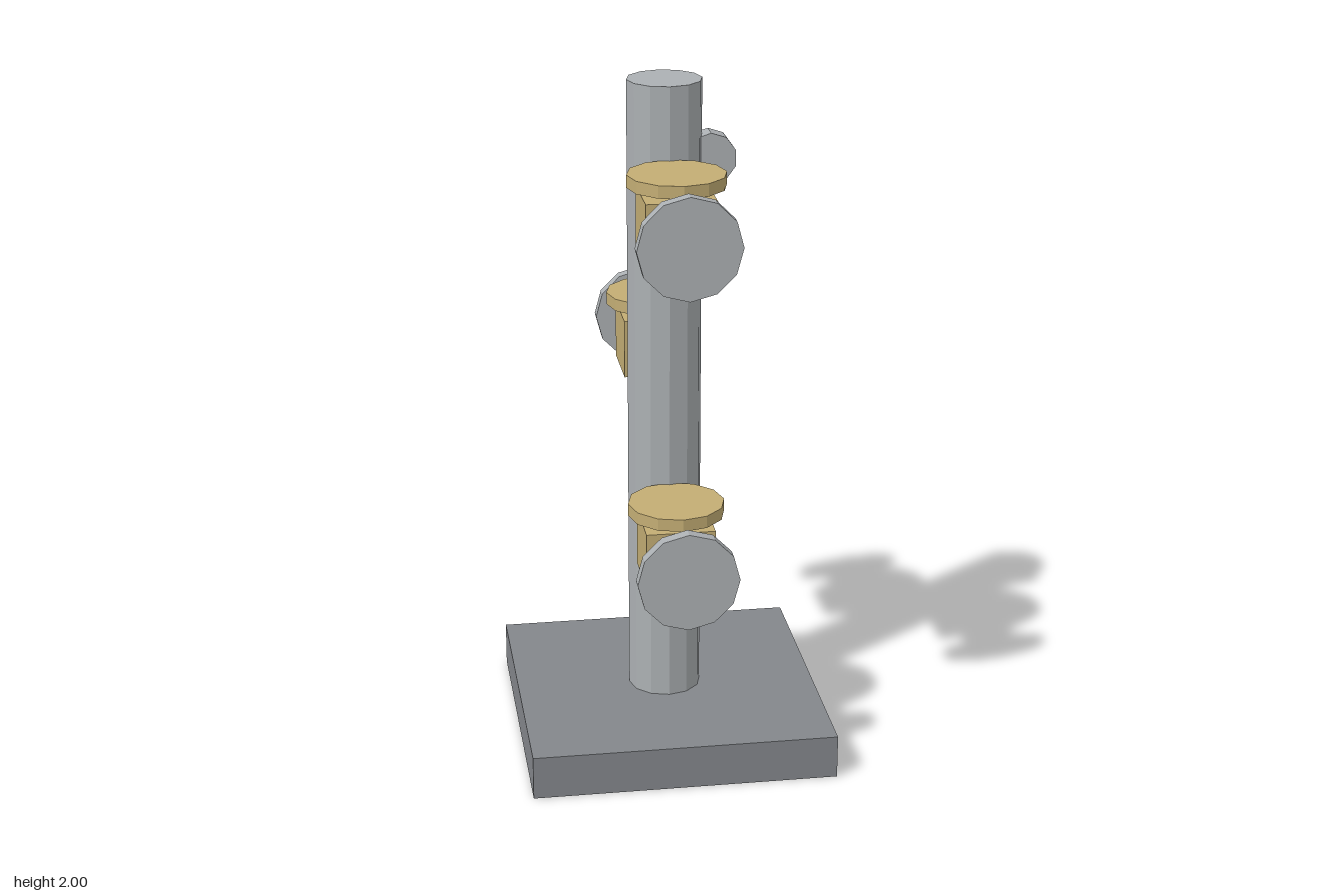
import * as THREE from 'three';

const mat = (name, color) => {
  const m = new THREE.MeshStandardMaterial({ color, flatShading: true });
  m.name = name;
  return m;
};

export function createModel() {
  const steel = mat('light steel', 0xacb0b3);
  const darkSteel = mat('dark steel', 0x84878b);
  const brass = mat('brass', 0xc3ad74);

  const model = new THREE.Group();
  model.name = 'valvePost';

  const add = (parent, name, geometry, material, x, y, z) => {
    const mesh = new THREE.Mesh(geometry, material);
    mesh.name = name;
    mesh.position.set(x, y, z);
    parent.add(mesh);
    return mesh;
  };
  // Cylinder lying along z, with one corner pointing up
  const zCylinder = (radius, length, sides) =>
    new THREE.CylinderGeometry(radius, radius, length, sides).rotateX(Math.PI / 2);

  // Base plate and upright post
  add(model, 'base', new THREE.BoxGeometry(0.894, 0.13, 0.894), darkSteel, 0, 0.065, 0);
  add(model, 'post', new THREE.CylinderGeometry(0.108, 0.108, 1.87, 12), steel, 0, 1.065, 0);

  // Outlets: pipe, brass body, hand wheel above and end flange
  const pipe = zCylinder(0.076, 0.4, 10);
  const body = new THREE.BoxGeometry(0.2, 0.175, 0.202);
  const wheel = new THREE.CylinderGeometry(0.14, 0.14, 0.036, 12);
  const flange = zCylinder(0.146, 0.038, 12);
  [[1.643, 1], [1.157, -1], [0.669, 1]].forEach(([y, side]) => {
    const outlet = new THREE.Group();
    outlet.name = side > 0 ? 'frontOutlet' : 'backOutlet';
    outlet.position.y = y;
    outlet.rotation.y = side > 0 ? 0 : Math.PI;
    add(outlet, 'outletPipe', pipe, steel, 0, 0, 0.25);
    add(outlet, 'valveBody', body, brass, 0, 0, 0.23);
    add(outlet, 'valveWheel', wheel, brass, 0, 0.128, 0.233);
    add(outlet, 'endFlange', flange, steel, 0, 0, 0.462);
    model.add(outlet);
  });

  // Two small discs on the left side of the post
  const lug = zCylinder(0.075, 0.062, 10);
  [1.77, 1.489].forEach((y) => add(model, 'sideLug', lug, steel, 0.129, y, 0));

  return model;
}
